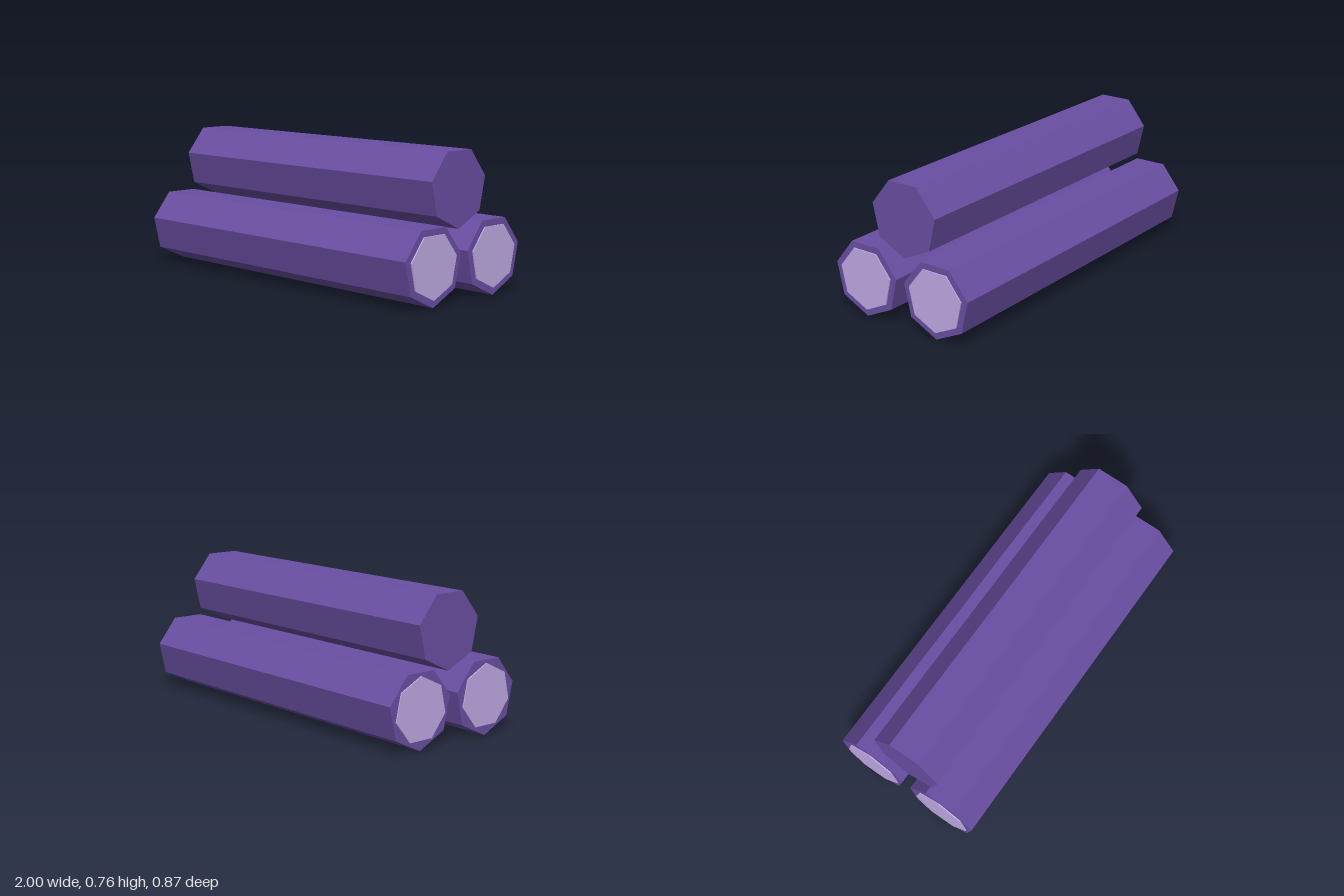
import * as THREE from 'three';

const SIDES = 7;
const RADIUS = 0.2085;
const CAP_RADIUS = 0.171;

// Seven-sided prism lying along x, one corner pointing down, faceted normals
function prism(radius, length) {
  const geometry = new THREE.CylinderGeometry(radius, radius, length, SIDES)
    .rotateX(Math.PI / 2)
    .rotateY(Math.PI / 2)
    .toNonIndexed();
  geometry.computeVertexNormals();
  return geometry;
}

export function createModel() {
  const bark = new THREE.MeshStandardMaterial({ color: 0x6a4fa3 });
  bark.name = 'purple bark';
  const cutWood = new THREE.MeshStandardMaterial({ color: 0xc0abe5 });
  cutWood.name = 'pale cut wood';

  const model = new THREE.Group();
  model.name = 'logPile';

  function addLog(name, length, y, z) {
    const log = new THREE.Group();
    log.name = name;
    log.position.set(0, y, z);
    const trunk = new THREE.Mesh(prism(RADIUS, length), bark);
    trunk.name = 'trunk';
    log.add(trunk);
    model.add(log);
    return log;
  }

  // Two bottom logs with pale cut faces at both ends
  const half = 0.993;
  const thickness = 1 - half;
  for (const [name, z] of [['frontLog', 0.23], ['backLog', -0.23]]) {
    const log = addLog(name, half * 2, RADIUS, z);
    for (const side of [1, -1]) {
      const cap = new THREE.Mesh(prism(CAP_RADIUS, thickness), cutWood);
      cap.name = side > 0 ? 'leftCutFace' : 'rightCutFace';
      cap.position.x = side * (half + thickness / 2);
      // The cut face on the right end has its corner pointing up
      if (side < 0) cap.rotation.x = Math.PI;
      log.add(cap);
    }
  }

  // Shorter plain log resting on top
  addLog('topLog', 1.908, 0.574, 0);

  return model;
}
